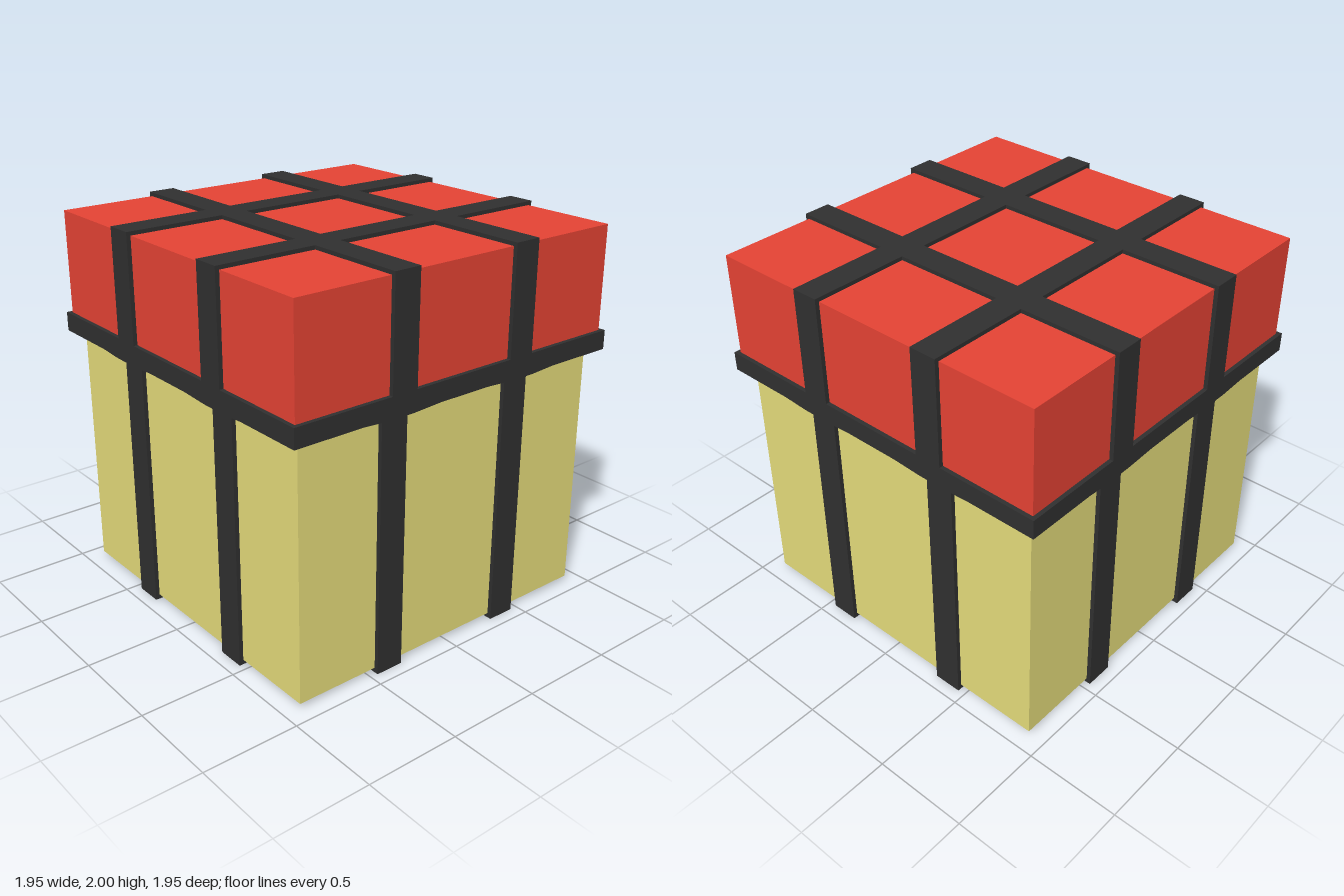
import * as THREE from 'three';

const material = (name, color) => new THREE.MeshStandardMaterial({ name, color });

// Extrudes an outline of [x, y] points, centred on z = 0
function slab(points, depth) {
  const shape = new THREE.Shape(points.map(([x, y]) => new THREE.Vector2(x, y)));
  return new THREE.ExtrudeGeometry(shape, { depth, bevelEnabled: false }).translate(0, 0, -depth / 2);
}

export function createModel() {
  const model = new THREE.Group();
  model.name = 'strappedCrate';
  const red = material('lidRed', 0xe64334);
  const tan = material('crateTan', 0xe5dc7b);
  const dark = material('strapCharcoal', 0x303030);

  const add = (name, geometry, mat, parent = model) => {
    const mesh = new THREE.Mesh(geometry, mat);
    mesh.name = name;
    parent.add(mesh);
    return mesh;
  };

  // Crate body and overhanging lid
  add('body', new THREE.BoxGeometry(1.82, 1.32, 1.82).translate(0, 0.685, 0), tan);
  add('lid', new THREE.BoxGeometry(1.91, 0.639, 1.91).translate(0, 1.6605, 0), red);

  // Straps pass under the body and up its sides
  const bodyStrap = slab([
    [-0.932, 0], [0.932, 0], [0.932, 1.35], [0.89, 1.35],
    [0.89, 0.045], [-0.89, 0.045], [-0.89, 1.35], [-0.932, 1.35],
  ], 0.15);

  // Straps pass over the lid and tuck under its rim
  const lidStrap = slab([
    [-0.977, 1.335], [-0.93, 1.325], [-0.93, 1.96], [0.93, 1.96],
    [0.93, 1.325], [0.977, 1.335], [0.977, 2], [-0.977, 2],
  ], 0.145);

  for (const turn of [0, Math.PI / 2]) {
    const straps = new THREE.Group();
    straps.name = turn ? 'lengthwiseStraps' : 'crosswiseStraps';
    straps.rotation.y = turn;
    for (const side of [-1, 1]) {
      add('bodyStrap', bodyStrap, dark, straps).position.z = side * 0.385;
      add('lidStrap', lidStrap, dark, straps).position.z = side * 0.3675;
    }
    model.add(straps);
  }

  // Rim band, dipping slightly at each strap
  const rim = slab([
    [-0.977, 1.34], [-0.6, 1.34], [-0.46, 1.331], [-0.31, 1.331], [-0.15, 1.34],
    [0.15, 1.34], [0.31, 1.331], [0.46, 1.331], [0.6, 1.34], [0.977, 1.34],
    [0.977, 1.44], [-0.977, 1.44],
  ], 0.024).translate(0, 0, 0.965);
  for (let i = 0; i < 4; i++) add('rimBand', rim, dark).rotation.y = i * Math.PI / 2;

  return model;
}
